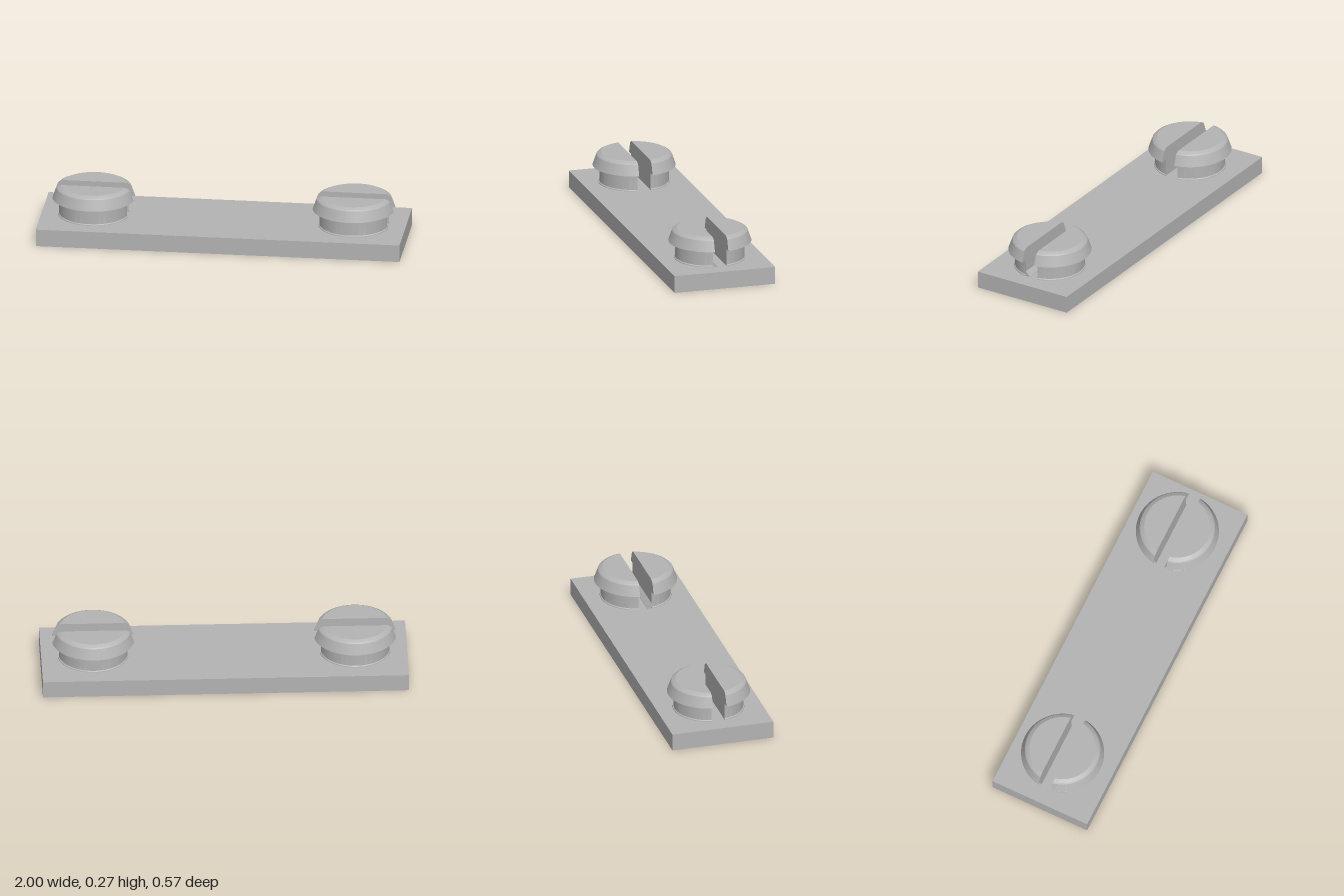
import * as THREE from 'three';
import { toCreasedNormals } from 'three/addons/utils/BufferGeometryUtils.js';

const SLOT = 0.038, PLATE_H = 0.096, STUD_X = 0.716, SEGMENTS = 40;

// Stud outline from base to top: [radius, height]
const PROFILE = [
  [0.196, 0.094], [0.195, 0.1], [0.19, 0.104], [0.19, 0.192],
  [0.227, 0.192], [0.206, 0.251], [0.2, 0.257], [0.181, 0.267],
];

// Half of a turned stud, cut flat at z = SLOT and closed by a wall and a top
function halfStudGeometry() {
  const rings = PROFILE.map(([r, y]) => {
    const start = Math.asin(SLOT / r);
    return Array.from({ length: SEGMENTS + 1 }, (_, j) => {
      const t = start + (Math.PI - 2 * start) * j / SEGMENTS;
      return [r * Math.cos(t), y, r * Math.sin(t)];
    });
  });
  const positions = [];
  const tri = (a, b, c) => positions.push(...a, ...b, ...c);
  const quad = (a, b, c, d) => { tri(a, b, c); tri(a, c, d); };

  for (let i = 0; i < rings.length - 1; i++) {
    const low = rings[i], high = rings[i + 1];
    // curved side
    for (let j = 0; j < SEGMENTS; j++) quad(low[j + 1], low[j], high[j], high[j + 1]);
    // slot wall
    if (high[0][1] > low[0][1]) quad(low[0], low[SEGMENTS], high[SEGMENTS], high[0]);
  }
  // flat top
  const top = rings[rings.length - 1];
  const middle = [0, top[0][1], SLOT];
  for (let j = 0; j < SEGMENTS; j++) tri(middle, top[j + 1], top[j]);

  const geometry = new THREE.BufferGeometry();
  geometry.setAttribute('position', new THREE.Float32BufferAttribute(positions, 3));
  return toCreasedNormals(geometry, 0.3);
}

export function createModel() {
  const model = new THREE.Group();
  model.name = 'slottedStudPlate';
  const grey = new THREE.MeshStandardMaterial({ color: 0xb3b3b3 });
  grey.name = 'grey';

  // Base plate
  const plate = new THREE.Mesh(new THREE.BoxGeometry(2, PLATE_H, 0.574), grey);
  plate.name = 'basePlate';
  plate.position.y = PLATE_H / 2;
  model.add(plate);

  // Two studs, each split by a slot
  const half = halfStudGeometry();
  for (const side of [-1, 1]) {
    const stud = new THREE.Group();
    stud.name = side > 0 ? 'leftStud' : 'rightStud';
    stud.position.x = side * STUD_X;
    for (const face of ['front', 'back']) {
      const mesh = new THREE.Mesh(half, grey);
      mesh.name = face + 'StudHalf';
      if (face === 'back') mesh.rotation.y = Math.PI;
      stud.add(mesh);
    }
    model.add(stud);

    // Small sloped foot inside the slot of the left stud
    if (side > 0) {
      const wedge = new THREE.Shape([
        new THREE.Vector2(0.012, 0.095), new THREE.Vector2(SLOT, 0.095), new THREE.Vector2(SLOT, 0.124),
        new THREE.Vector2(0.013, 0.099),
      ]);
      const geometry = new THREE.ExtrudeGeometry(wedge, { depth: 0.374, bevelEnabled: false });
      geometry.translate(0, 0, -0.187).rotateY(-Math.PI / 2);
      const foot = new THREE.Mesh(geometry, grey);
      foot.name = 'slotFoot';
      stud.add(foot);
    }
  }
  return model;
}
